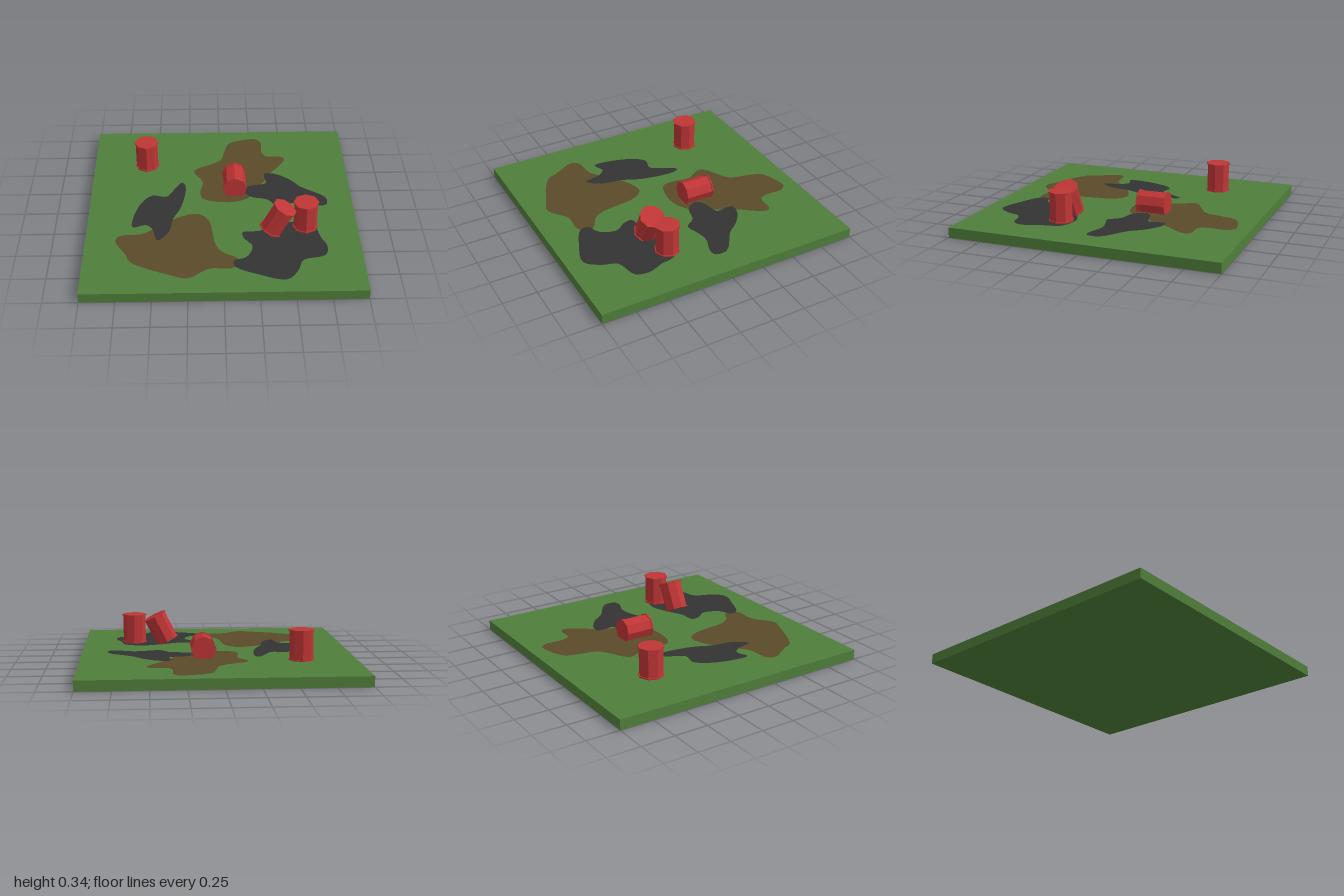
import * as THREE from 'three';

const GROUND_TOP = 0.075;

const mat = (color, extra = {}) => new THREE.MeshStandardMaterial({ color, ...extra });
const red = mat(0xbf3535, { flatShading: true });
const green = mat(0x4f7f3a);
const brown = mat(0x5c4a2a, { side: THREE.DoubleSide });
const black = mat(0x333333, { side: THREE.DoubleSide });

// Eight-sided barrel with a thin rim at both ends, centred on its own origin
function barrel(name, position, rotation = [0, 0, 0]) {
  const h = 0.11, rim = 0.01, r = 0.086, R = 0.093;
  const profile = [
    [0, -h], [R, -h], [R, -h + rim], [r, -h + rim],
    [r, h - rim], [R, h - rim], [R, h], [0, h],
  ].map(([x, y]) => new THREE.Vector2(x, y));
  const mesh = new THREE.Mesh(new THREE.LatheGeometry(profile, 8), red);
  mesh.name = name;
  mesh.position.set(...position);
  mesh.rotation.set(...rotation);
  return mesh;
}

// Flat ground patch with a smooth closed outline, given as [x, z] points
function patch(name, outline, material, y) {
  const curve = new THREE.CatmullRomCurve3(
    outline.map(([x, z]) => new THREE.Vector3(x, -z, 0)), true, 'centripetal');
  const points = curve.getPoints(outline.length * 4).slice(0, -1);
  const shape = new THREE.Shape(points.map((p) => new THREE.Vector2(p.x, p.y)));
  const mesh = new THREE.Mesh(new THREE.ShapeGeometry(shape).rotateX(-Math.PI / 2), material);
  mesh.name = name;
  mesh.position.y = y;
  return mesh;
}

export function createModel() {
  const model = new THREE.Group();
  model.name = 'barrelField';

  // Grass slab
  const ground = new THREE.Mesh(new THREE.BoxGeometry(2, GROUND_TOP, 2), green);
  ground.name = 'ground';
  ground.position.y = GROUND_TOP / 2;
  model.add(ground);

  // Mud patches
  const mud = [
    [[0.08, -0.83], [0.24, -0.89], [0.3, -0.89], [0.34, -0.84], [0.34, -0.71], [0.37, -0.64],
      [0.49, -0.63], [0.52, -0.6], [0.5, -0.54], [0.4, -0.4], [0.34, -0.29], [0.25, -0.13],
      [0.19, -0.06], [0.05, -0.02], [-0.14, -0.07], [-0.16, -0.16], [-0.14, -0.29],
      [-0.21, -0.44], [0, -0.58], [0.04, -0.72]],
    [[-0.535, 0.32], [-0.34, 0.17], [-0.18, 0.12], [-0.1, 0.2], [-0.05, 0.49], [0, 0.575],
      [0.1, 0.64], [0.1, 0.71], [0.05, 0.75], [-0.1, 0.75], [-0.25, 0.85], [-0.385, 0.81],
      [-0.66, 0.67], [-0.695, 0.59], [-0.78, 0.43], [-0.75, 0.375], [-0.59, 0.355]],
  ];
  mud.forEach((o, i) => model.add(patch(`mudPatch${i + 1}`, o, brown, GROUND_TOP + 0.001)));

  // Dark spills, lying over the mud
  const spills = [
    [[-0.305, -0.28], [-0.275, -0.24], [-0.305, 0.03], [-0.365, 0.18], [-0.395, 0.34],
      [-0.475, 0.43], [-0.515, 0.3], [-0.565, 0.25], [-0.66, 0.275], [-0.665, 0.18],
      [-0.61, -0.02], [-0.53, -0.115], [-0.42, -0.1], [-0.365, -0.185]],
    [[0.35, -0.39], [0.42, -0.39], [0.54, -0.31], [0.62, -0.21], [0.8, -0.07], [0.8, 0.02],
      [0.75, 0.035], [0.61, -0.01], [0.5, 0.01], [0.42, 0.03], [0.35, -0.05], [0.22, -0.09],
      [0.17, -0.18], [0.23, -0.23], [0.35, -0.26], [0.345, -0.34]],
    [[0.15, 0.35], [0.27, 0.335], [0.41, 0.27], [0.54, 0.23], [0.68, 0.28], [0.715, 0.41],
      [0.755, 0.52], [0.73, 0.62], [0.57, 0.67], [0.525, 0.78], [0.44, 0.875], [0.245, 0.82],
      [0.085, 0.735], [0.075, 0.67], [0.165, 0.63], [0.215, 0.51], [0.155, 0.415]],
  ];
  spills.forEach((o, i) => model.add(patch(`darkSpill${i + 1}`, o, black, GROUND_TOP + 0.002)));

  // Two upright barrels, one leaning, one lying on its side
  model.add(
    barrel('backBarrel', [-0.58, 0.205, -0.5]),
    barrel('frontBarrel', [0.61, 0.205, 0.305]),
    barrel('leaningBarrel', [0.405, 0.196, 0.34], [0, 0, -0.47]),
    barrel('fallenBarrel', [0.105, 0.144, -0.21], [Math.PI / 2, 0, 0]),
  );

  return model;
}
